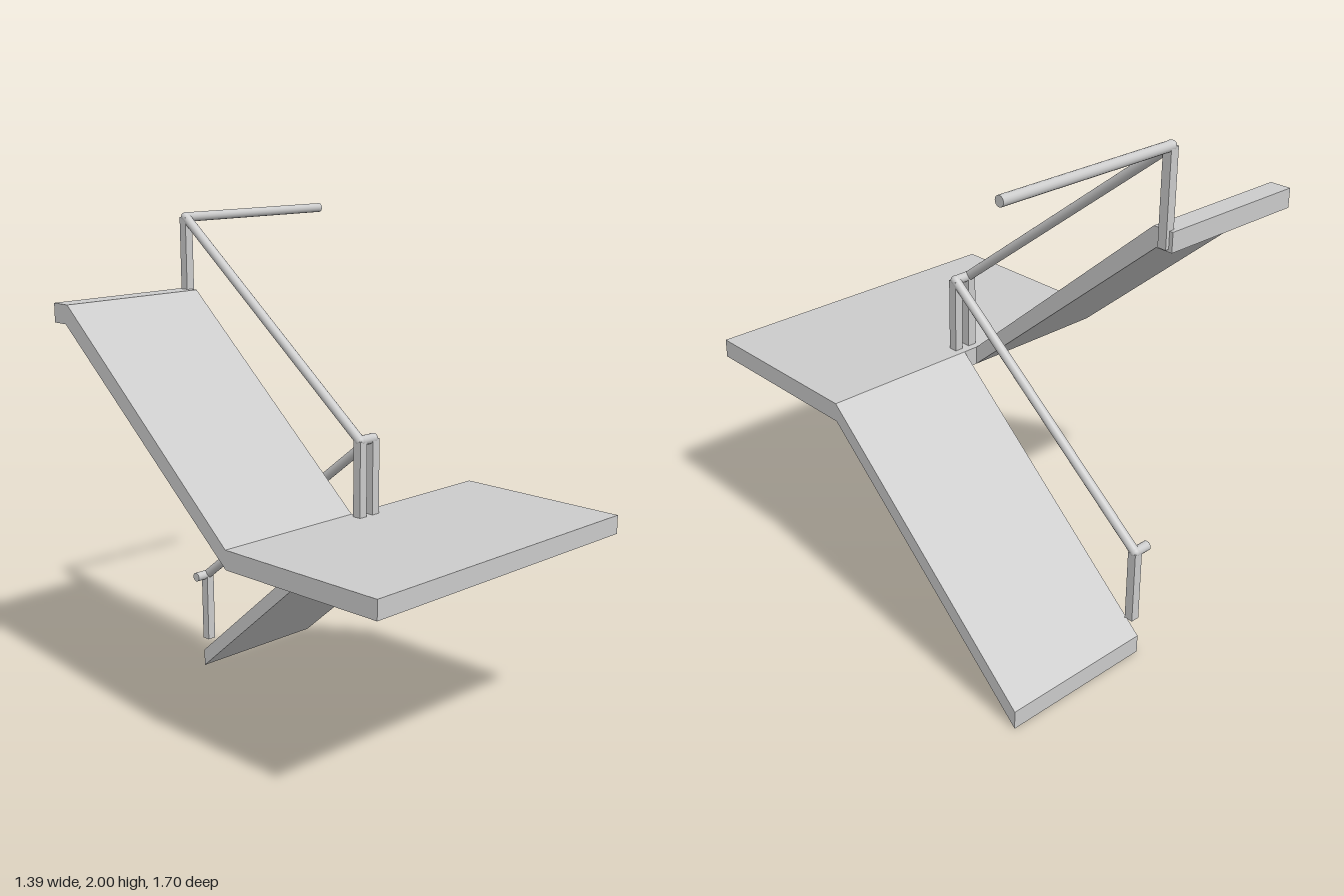
import * as THREE from 'three';

const material = new THREE.MeshStandardMaterial({ color: 0xcccccc });

export function createModel() {
  const model = new THREE.Group();

  const add = (name, geometry) => {
    const mesh = new THREE.Mesh(geometry, material);
    mesh.name = name;
    model.add(mesh);
    return mesh;
  };

  // Slab with a [z, y] side profile, spanning x0 to x1
  const slab = (name, x0, x1, profile) => {
    const shape = new THREE.Shape(profile.map(([z, y]) => new THREE.Vector2(-z, y)));
    const geometry = new THREE.ExtrudeGeometry(shape, { depth: x1 - x0, bevelEnabled: false });
    geometry.rotateY(Math.PI / 2).translate(x0, 0, 0);
    add(name, geometry);
  };

  // Square post standing at x, z
  const post = (name, x, z, y0, y1) => {
    add(name, new THREE.BoxGeometry(0.036, y1 - y0, 0.036)).position.set(x, (y0 + y1) / 2, z);
  };

  // Round bar between two points
  const bar = (name, a, b, radius = 0.019) => {
    const from = new THREE.Vector3(...a), to = new THREE.Vector3(...b);
    const dir = to.clone().sub(from);
    const mesh = add(name, new THREE.CylinderGeometry(radius, radius, dir.length(), 16));
    mesh.position.copy(from).addScaledVector(dir, 0.5);
    mesh.quaternion.setFromUnitVectors(new THREE.Vector3(0, 1, 0), dir.normalize());
  };

  // Landing and the two sloping flights
  slab('landing', -0.695, 0.64, [[0.85, 0.842], [0.12, 0.842], [0.12, 0.916], [0.85, 0.916]]);
  slab('lowerFlight', 0.003, 0.64, [[0.12, 0.842], [-0.85, 0.005], [-0.85, 0.078], [0.12, 0.916]]);
  slab('upperFlight', -0.695, -0.06, [[0.12, 0.842], [-0.78, 1.615], [-0.85, 1.615],
    [-0.85, 1.69], [-0.765, 1.69], [0.12, 0.916]]);

  // Handrail corner points
  const upperX = -0.063, lowerX = 0.005, frontZ = 0.167, backZ = -0.817;
  const upperFront = [upperX, 1.21, frontZ], upperBack = [upperX, 1.98, backZ];
  const lowerFront = [lowerX, 1.21, frontZ], lowerBack = [lowerX, 0.44, backZ];

  // Posts
  post('upperFrontPost', upperX, frontZ, 0.916, 1.21);
  post('lowerFrontPost', lowerX, frontZ, 0.916, 1.21);
  post('upperBackPost', upperX, backZ, 1.625, 1.98);
  post('lowerBackPost', lowerX, backZ, 0.145, 0.44);

  // Rails, with the short turn between flights and the end returns
  bar('upperRail', upperFront, upperBack);
  bar('lowerRail', lowerFront, lowerBack);
  bar('railTurn', upperFront, lowerFront);
  bar('topRail', upperBack, [0.695, 1.98, backZ]);
  bar('lowerRailReturn', lowerBack, [-0.06, 0.44, backZ]);

  // Rounded rail joints
  for (const point of [upperFront, upperBack, lowerFront, lowerBack]) {
    add('railJoint', new THREE.SphereGeometry(0.02, 16, 10)).position.set(...point);
  }
  return model;
}
